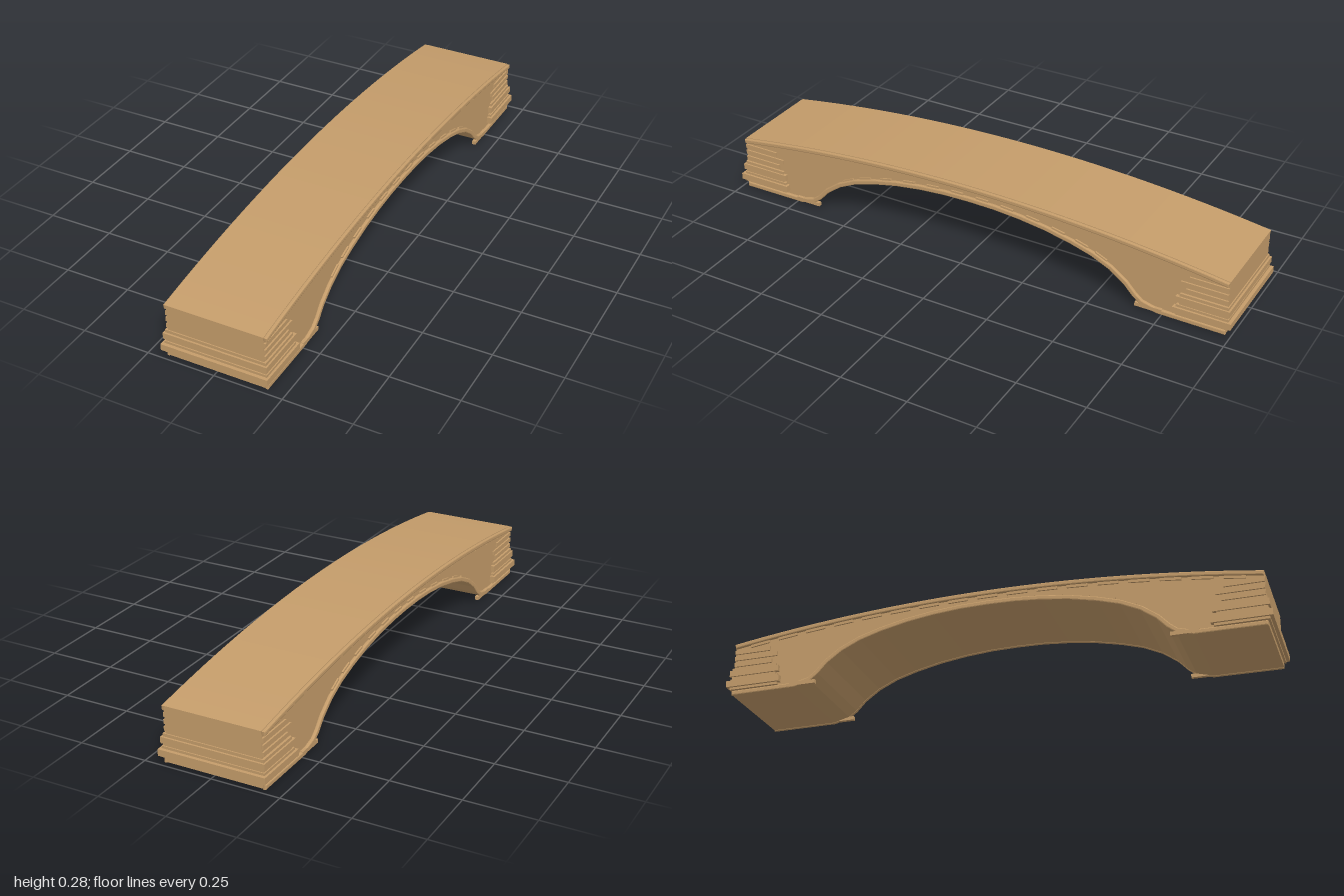
import * as THREE from 'three';

const stone = new THREE.MeshStandardMaterial({ color: 0xc49c6a });
stone.name = 'sandstone';

const END = 0.98, HALF = 0.178;
const deckY = z => 0.283 - 0.076 * (z / END) ** 2;

// Half of the underside, from the crown of the arch out to the foot
const ARCH = [[0, 0.226], [0.1, 0.224], [0.2, 0.216], [0.3, 0.202], [0.4, 0.18], [0.48, 0.156],
  [0.55, 0.123], [0.605, 0.083], [0.64, 0.045], [0.67, 0.022], [0.73, 0.006], [END, 0.005]];
const soffit = [...ARCH.slice(1).reverse().map(([z, y]) => [-z, y]), ...ARCH];

const deck = [];
for (let i = 0; i <= 32; i++) {
  const z = -END + (2 * END * i) / 32;
  deck.push([z, deckY(z)]);
}

// Extrudes a (z, y) outline along x, centred on x
function slab(points, width, x, bevel = 0) {
  const shape = new THREE.Shape(points.map(([z, y]) => new THREE.Vector2(-z, y)));
  const geo = new THREE.ExtrudeGeometry(shape, {
    depth: width - 2 * bevel, bevelEnabled: bevel > 0, bevelThickness: bevel,
    bevelSize: bevel, bevelOffset: -bevel, bevelSegments: 2,
  });
  geo.translate(0, 0, -(width - 2 * bevel) / 2);
  geo.rotateY(Math.PI / 2);
  geo.translate(x, 0, 0);
  return geo;
}

// Strip of even thickness above (positive) or below (negative) a line
function strip(line, thick) {
  const moved = line.map(([z, y], i) => {
    const a = line[Math.max(i - 1, 0)], b = line[Math.min(i + 1, line.length - 1)];
    const dz = b[0] - a[0], dy = b[1] - a[1], len = Math.hypot(dz, dy);
    return [z - (dy / len) * thick, y + (dz / len) * thick];
  });
  return [...line, ...moved.reverse()];
}

export function createModel() {
  const model = new THREE.Group();
  model.name = 'archBridge';
  const add = (geo, name) => {
    const mesh = new THREE.Mesh(geo, stone);
    mesh.name = name;
    model.add(mesh);
    return mesh;
  };
  const box = (name, w, h, d, x, y, z) =>
    add(new THREE.BoxGeometry(w, h, d), name).position.set(x, y, z);

  // Solid span between deck and arch
  add(slab([...deck, ...[...soffit].reverse()], HALF * 2, 0), 'span');

  for (const side of [-1, 1]) {
    const sideName = side > 0 ? 'left' : 'right';
    const x = side * 0.183;

    // Rounded edge trims along deck and arch
    add(slab(strip(deck.map(([z, y]) => [z, y - 0.001]), -0.017), 0.014, x, 0.004), sideName + 'DeckTrim');
    add(slab(strip(soffit.map(([z, y]) => [z, y - 0.003]), 0.018), 0.014, x, 0.004), sideName + 'ArchTrim');

    // Short ledges at the arch springings
    for (const end of [-1, 1])
      box(sideName + 'FootLedge', 0.014, 0.014, 0.1, x, 0.016, end * 0.7);

    // Staggered stones under the deck trim
    for (let i = -8; i <= 8; i++) {
      const z = i * 0.11;
      const mesh = add(new THREE.BoxGeometry(0.006, 0.01, 0.075), sideName + 'DeckStone');
      mesh.position.set(side * 0.181, deckY(z) - 0.023, z);
      mesh.rotation.x = Math.atan(0.152 * z / END ** 2);
    }

    // Staggered stones following the arch trim
    for (let i = 1; i < soffit.length - 2; i++) {
      const [z0, y0] = soffit[i], [z1, y1] = soffit[i + 1];
      if (Math.max(Math.abs(z0), Math.abs(z1)) > 0.56) continue;
      const mesh = add(new THREE.BoxGeometry(0.006, 0.008, 0.05), sideName + 'ArchStone');
      mesh.position.set(side * 0.181, (y0 + y1) / 2 + 0.018, (z0 + z1) / 2);
      mesh.rotation.x = -Math.atan2(y1 - y0, z1 - z0);
    }
  }

  // Moulded bands wrapped round each abutment: [half width, bottom, top, inner z, outer z]
  const BANDS = [
    [0.19, 0.024, 0.066, 0.8, 0.988],
    [0.198, 0.033, 0.057, 0.79, 1.0],
    [0.186, 0.066, 0.11, 0.81, 0.984],
    [0.192, 0.076, 0.099, 0.797, 0.991],
  ];
  for (const end of [-1, 1]) {
    for (const [hw, y0, y1, z0, z1] of BANDS)
      box(end > 0 ? 'frontBand' : 'backBand', hw * 2, y1 - y0, z1 - z0, 0, (y0 + y1) / 2, end * (z0 + z1) / 2);

    // Shallow corner stones above the bands
    for (const side of [-1, 1])
      for (const [y, len] of [[0.125, 0.15], [0.15, 0.17], [0.175, 0.14]])
        box('cornerStone', 0.008, 0.016, len, side * 0.18, y, end * (0.979 - len / 2));
  }
  return model;
}
